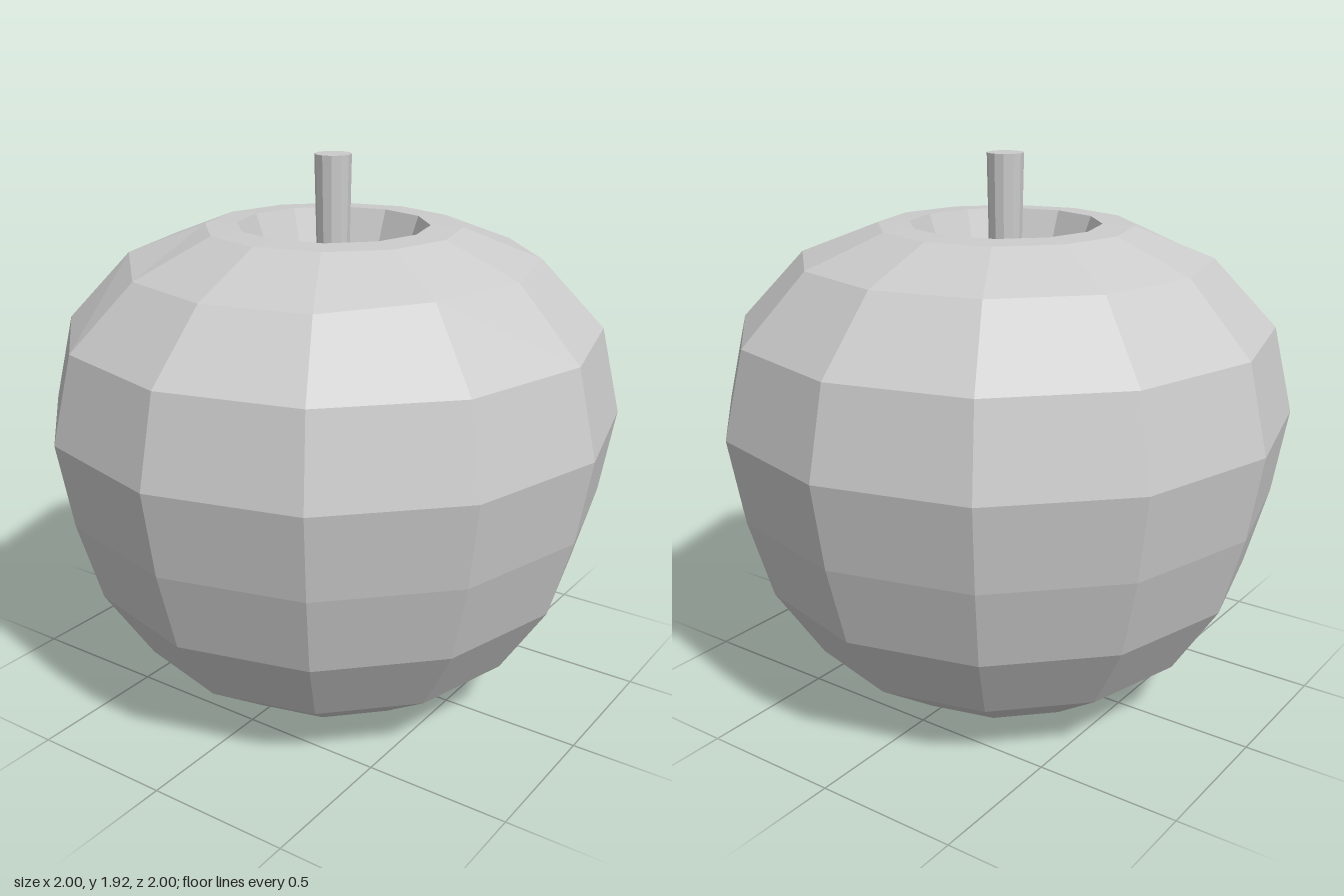
import * as THREE from 'three';

const SIDES = 12;

export function createModel() {
  const group = new THREE.Group();
  const material = new THREE.MeshStandardMaterial({ color: 0xcccccc, flatShading: true });

  // Body: profile from the bottom dimple, round the outside, into the deep stem cavity
  const profile = [
    [0, 0.1], [0.3, 0], [0.445, 0.03], [0.705, 0.21], [0.87, 0.465], [0.95, 0.745],
    [1, 1.04], [0.93, 1.34], [0.71, 1.575], [0.44, 1.68], [0.33, 1.685], [0, 0.8],
  ].map(([r, y]) => new THREE.Vector2(r, y));
  const bodyGeometry = new THREE.LatheGeometry(profile, SIDES);

  // The front of the shoulder ring sags a little
  const pos = bodyGeometry.attributes.position;
  for (let i = 0; i < pos.count; i++) {
    if (Math.abs(pos.getY(i) - 1.575) < 0.001 && pos.getZ(i) > 0.5) pos.setY(i, 1.555);
  }
  const body = new THREE.Mesh(bodyGeometry, material);
  body.name = 'fruitBody';
  group.add(body);

  // Stem: slightly tapered, rising from the bottom of the cavity
  const top = 1.92, base = 0.9;
  const stem = new THREE.Mesh(new THREE.CylinderGeometry(0.063, 0.043, top - base, SIDES), material);
  stem.position.y = (top + base) / 2;
  stem.name = 'stem';
  group.add(stem);

  return group;
}
